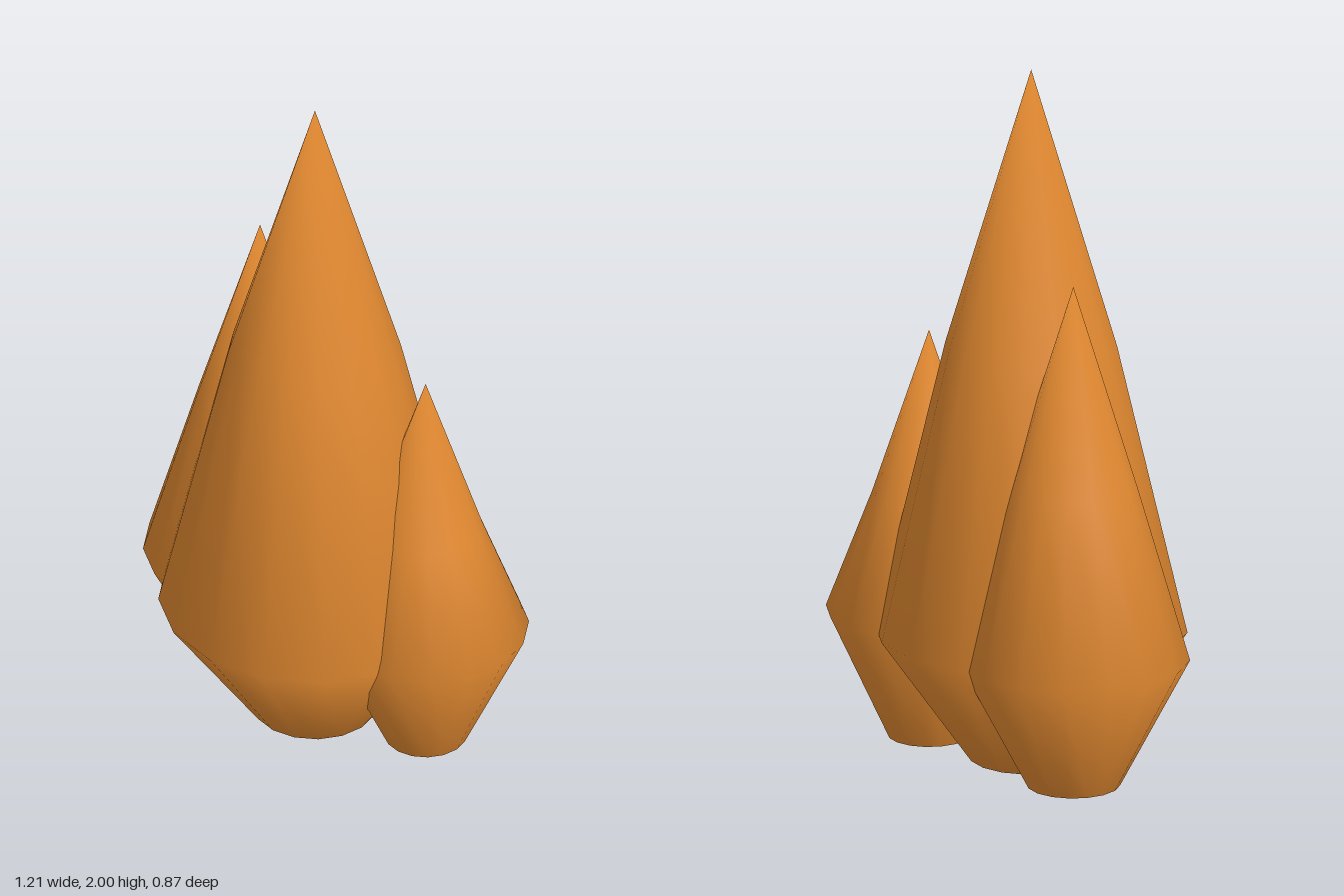
import * as THREE from 'three';
import { mergeVertices } from 'three/addons/utils/BufferGeometryUtils.js';

const amber = new THREE.MeshStandardMaterial({ color: 0xe08830, side: THREE.DoubleSide });
amber.name = 'amber';

// One pointed crystal: open narrow foot, wide waist, tapering shoulder, sharp tip
function crystal(name, x, z, radius, height) {
  const profile = [
    [radius * 0.4, 0],
    [radius, 0.37],
    [radius * 0.55, height * 0.6],
    [0, height],
  ].map(([r, y]) => new THREE.Vector2(r, y));

  // Weld the seam and tip so the shading is smooth all over
  let geometry = new THREE.LatheGeometry(profile, 16);
  geometry.deleteAttribute('uv');
  geometry.deleteAttribute('normal');
  geometry = mergeVertices(geometry);
  geometry.computeVertexNormals();

  const mesh = new THREE.Mesh(geometry, amber);
  mesh.name = name;
  mesh.position.set(x, 0, z);
  return mesh;
}

export function createModel() {
  const group = new THREE.Group();
  group.name = 'crystalCluster';
  group.add(
    crystal('tallCrystal', -0.01, 0, 0.435, 2),
    crystal('mediumCrystal', -0.283, -0.077, 0.325, 1.45),
    crystal('smallCrystal', 0.317, -0.095, 0.287, 1.18),
  );
  return group;
}
